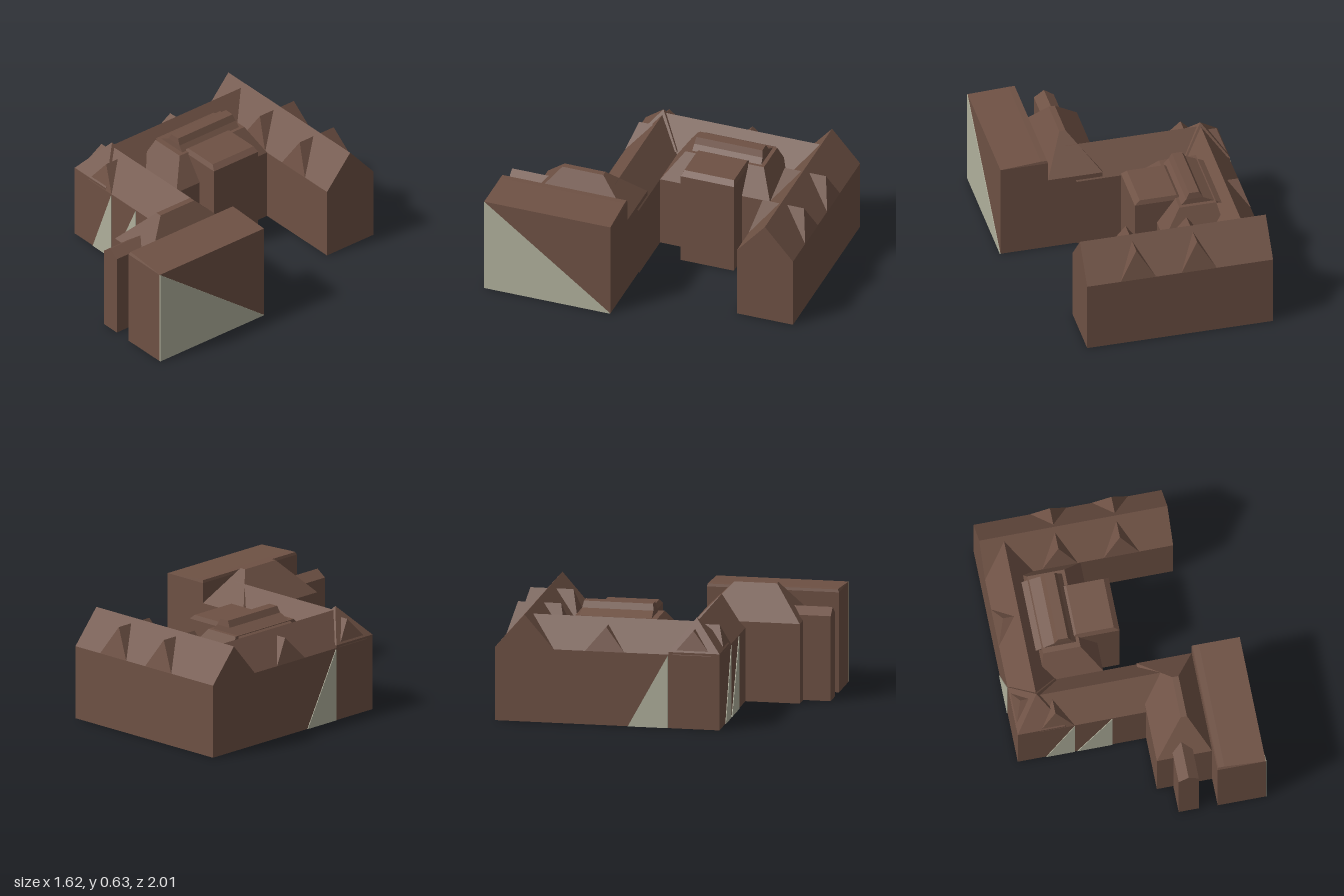
import * as THREE from 'three';

const brown = new THREE.MeshStandardMaterial({ color: 0x6e5144, flatShading: true, side: THREE.DoubleSide });
brown.name = 'brown masonry';
const grey = new THREE.MeshStandardMaterial({ color: 0xb0b09c, flatShading: true, side: THREE.DoubleSide });
grey.name = 'pale grey panel';

// Faces given as corner lists, fanned into triangles
function faceMesh(name, faces) {
  const pos = [];
  for (const f of faces)
    for (let i = 1; i < f.length - 1; i++) pos.push(...f[0], ...f[i], ...f[i + 1]);
  const g = new THREE.BufferGeometry();
  g.setAttribute('position', new THREE.Float32BufferAttribute(pos, 3));
  g.computeVertexNormals();
  const m = new THREE.Mesh(g, brown);
  m.name = name;
  return m;
}

// Open-bottomed mass lofted through rectangles [x0, x1, z0, z1, y].
// skip lists shared walls: 0 front, 1 right end (+x), 2 back, 3 left end (-x)
function mass(name, sections, skip = []) {
  const loops = sections.map(([x0, x1, z0, z1, y]) =>
    [[x0, y, z1], [x1, y, z1], [x1, y, z0], [x0, y, z0]]);
  const faces = [];
  for (let s = 0; s < loops.length - 1; s++)
    for (let i = 0; i < 4; i++) {
      if (s === 0 && skip.includes(i)) continue;
      const j = (i + 1) % 4;
      faces.push([loops[s][i], loops[s][j], loops[s + 1][j], loops[s + 1][i]]);
    }
  faces.push(loops[loops.length - 1]);
  return faceMesh(name, faces);
}

// Walls to the eave, then a roof closing on the given top rectangle
function house(name, [x0, x1, z0, z1], eave, top, skip) {
  return mass(name, [[x0, x1, z0, z1, 0], [x0, x1, z0, z1, eave], top], skip);
}

// Gabled dormer, facing its own +z, with its front leaning back
function dormer(name, x, z, y, turn, w, h, depth) {
  const l = [-w, 0, 0], r = [w, 0, 0], p = [0, h, -0.045], e = [0, h, -depth];
  const m = faceMesh(name, [[l, r, p], [r, e, p], [l, p, e]]);
  m.position.set(x, y, z);
  m.rotation.y = turn;
  return m;
}

// Thin triangular wall panel
function panel(name, pts, x, z, turn) {
  const shape = new THREE.Shape(pts.map(p => new THREE.Vector2(...p)));
  const g = new THREE.ExtrudeGeometry(shape, { depth: 0.008, bevelEnabled: false });
  g.translate(0, 0, -0.004);
  const m = new THREE.Mesh(g, grey);
  m.name = name;
  m.position.set(x, 0, z);
  m.rotation.y = turn;
  return m;
}

export function createModel() {
  const model = new THREE.Group();
  model.name = 'courtyardBuilding';
  const b = new THREE.Group();
  b.name = 'building';
  b.rotation.y = 0.545;
  model.add(b);

  // Wings around the courtyard
  b.add(
    house('rightWing', [0.415, 0.745, -0.72, 0.335], 0.415, [0.58, 0.58, -0.72, 0.335, 0.605]),
    house('backWing', [-0.4, 0.58, -0.72, -0.45], 0.415, [-0.36, 0.58, -0.585, -0.585, 0.58], [0, 1, 3]),
    house('leftWing', [-0.515, -0.23, -0.6, 0.15], 0.415, [-0.36, -0.36, -0.6, 0.18, 0.575], [0, 2]),
    house('cornerHip', [-0.515, -0.23, -0.72, -0.45], 0.43, [-0.36, -0.36, -0.585, -0.585, 0.6], [0, 1]),
  );

  // Central hall stepping up to a raised flat top, with a projecting bay
  b.add(
    house('centralHall', [-0.23, 0.415, -0.535, -0.185], 0.415, [-0.12, 0.34, -0.5, -0.29, 0.56], [1, 2, 3]),
    mass('raisedRoof', [[-0.09, 0.32, -0.535, -0.29, 0.54], [-0.085, 0.315, -0.43, -0.335, 0.59],
      [-0.08, 0.308, -0.41, -0.353, 0.625]]),
    house('frontBay', [-0.065, 0.25, -0.34, -0.06], 0.55, [-0.05, 0.24, -0.3, -0.09, 0.575], [2]),
  );

  // Front left buildings
  b.add(
    house('hippedBlock', [-0.82, -0.236, 0, 0.31], 0.45, [-0.66, -0.42, 0.165, 0.2, 0.635], [0]),
    house('sideAnnex', [-0.975, -0.8, 0.092, 0.205], 0.48, [-0.975, -0.76, 0.148, 0.148, 0.52], [1]),
    house('frontBlock', [-0.978, -0.236, 0.31, 0.58], 0.565, [-0.97, -0.24, 0.315, 0.35, 0.58]),
  );

  // Dormers on both slopes of the right wing
  for (const z of [0.045, -0.3]) {
    b.add(dormer('outerDormer', 0.746, z, 0.415, Math.PI / 2, 0.1, 0.163, 0.16));
    b.add(dormer('innerDormer', 0.414, z, 0.415, -Math.PI / 2, 0.1, 0.163, 0.16));
  }
  // Dormers on the back and the left corner
  for (const x of [0.13, -0.36]) b.add(dormer('backDormer', x, -0.721, 0.415, Math.PI, 0.11, 0.13, 0.14));
  b.add(dormer('cornerDormer', -0.516, -0.5, 0.415, -Math.PI / 2, 0.1, 0.13, 0.15));

  // Pale wall panels
  b.add(
    panel('frontPanel', [[-0.978, 0], [-0.236, 0], [-0.978, 0.565]], 0, 0.58, 0),
    panel('backPanel', [[-0.225, 0], [0, 0], [-0.225, 0.41]], 0, -0.72, 0),
    panel('leftPanel', [[-0.385, 0], [-0.19, 0], [-0.19, 0.41]], -0.515, 0, -Math.PI / 2),
    panel('leftPanel', [[-0.56, 0], [-0.4, 0], [-0.4, 0.41]], -0.515, 0, -Math.PI / 2),
  );
  return model;
}
